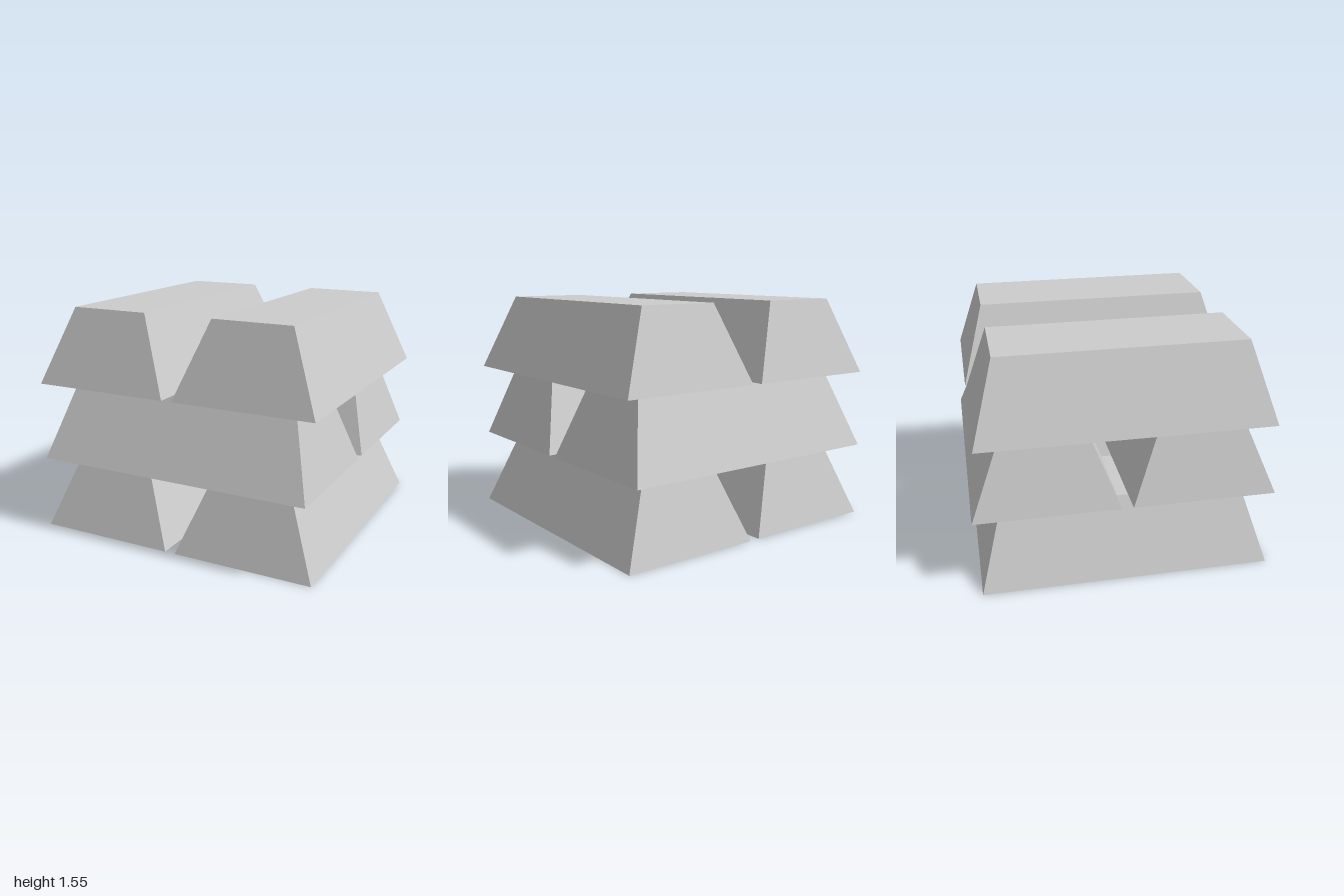
import * as THREE from 'three';

const HEIGHT = 0.518;
const BASE = { width: 0.963, length: 1.926 };
const TOP = { width: 0.547, length: 1.62 };
const OFFSET = 0.518; // bar centre from the middle of the stack

// Tapered bar: a box whose upper face is narrowed in both directions
function barGeometry() {
  const geometry = new THREE.BoxGeometry(BASE.width, HEIGHT, BASE.length);
  geometry.translate(0, HEIGHT / 2, 0);
  const p = geometry.attributes.position;
  for (let i = 0; i < p.count; i++) {
    if (p.getY(i) > HEIGHT / 2) {
      p.setX(i, Math.sign(p.getX(i)) * TOP.width / 2);
      p.setZ(i, Math.sign(p.getZ(i)) * TOP.length / 2);
    }
  }
  geometry.computeVertexNormals();
  return geometry;
}

export function createModel() {
  const model = new THREE.Group();
  model.name = 'barStack';
  const geometry = barGeometry();
  const material = new THREE.MeshStandardMaterial({ color: 0xcccccc, flatShading: true });

  // Three layers of two bars, each layer turned a quarter from the one below
  ['bottomLayer', 'middleLayer', 'topLayer'].forEach((name, level) => {
    const layer = new THREE.Group();
    layer.name = name;
    layer.position.y = level * HEIGHT;
    layer.rotation.y = level % 2 ? Math.PI / 2 : 0;
    for (const side of [-1, 1]) {
      const bar = new THREE.Mesh(geometry, material);
      bar.name = 'bar';
      bar.position.x = side * OFFSET;
      layer.add(bar);
    }
    model.add(layer);
  });
  return model;
}
